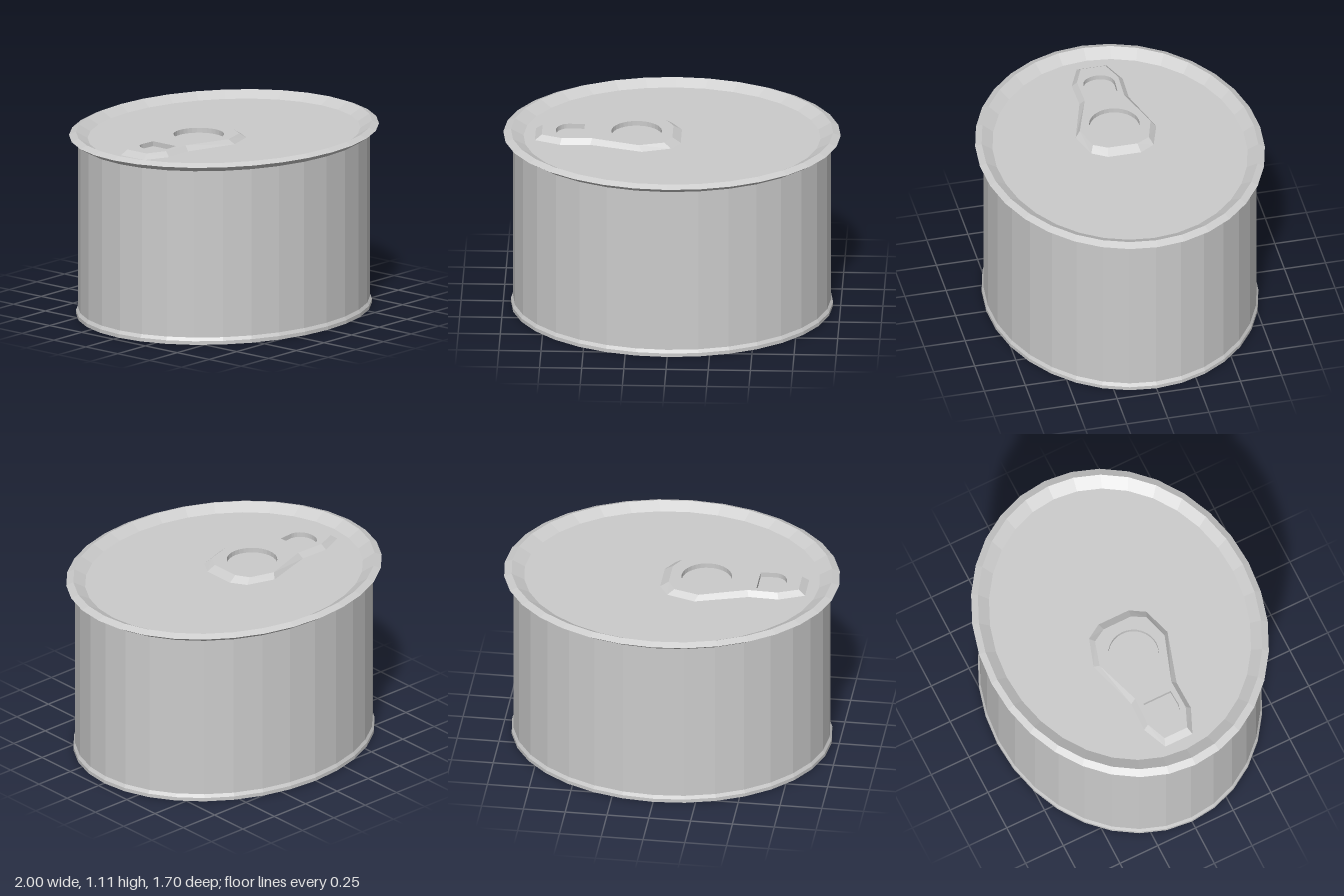
import * as THREE from 'three';

const DEPTH = 0.852;   // oval ratio z / x
const LID_Y = 1.07;
const TAB_Y = 1.1;
const TAB_Z = -0.015;

const material = new THREE.MeshStandardMaterial({ color: 0xcccccc, flatShading: true });
const tabMaterial = new THREE.MeshStandardMaterial({ color: 0xcccccc, flatShading: true, side: THREE.DoubleSide });

// 32-sided oval ring from a [radius, height] profile
function ovalPart(name, profile) {
  const geometry = new THREE.LatheGeometry(profile.map(([r, y]) => new THREE.Vector2(r, y)), 32);
  geometry.scale(1, 1, DEPTH);
  const mesh = new THREE.Mesh(geometry, material);
  mesh.name = name;
  return mesh;
}

// Closed outline from one half, mirrored across the tab's centre line
function outline(half) {
  const mirrored = half.map(([x, z]) => [x, -z]).reverse();
  return [...half, ...mirrored].map(([x, z]) => new THREE.Vector2(x, z));
}

function createPullTab() {
  const tab = new THREE.Group();
  tab.name = 'pullTab';
  const lower = outline([[-0.81, 0.09], [-0.66, 0.155], [-0.48, 0.15], [-0.17, 0.245], [0, 0.19], [0.055, 0.1]]);
  const upper = outline([[-0.77, 0.075], [-0.65, 0.125], [-0.47, 0.12], [-0.19, 0.215], [-0.04, 0.17], [0.005, 0.09]]);

  // Top plate with finger hole and D-shaped slot
  const shape = new THREE.Shape(upper);
  const fingerHole = new THREE.Path().absarc(-0.21, 0, 0.15, 0, Math.PI * 2, true);
  const slot = new THREE.Path();
  slot.moveTo(-0.52, -0.09);
  slot.lineTo(-0.61, -0.095);
  slot.bezierCurveTo(-0.715, -0.09, -0.715, 0.09, -0.61, 0.095);
  slot.lineTo(-0.52, 0.09);
  slot.closePath();
  shape.holes.push(fingerHole, slot);
  const height = TAB_Y - LID_Y;
  const plateGeometry = new THREE.ExtrudeGeometry(shape, { depth: height, bevelEnabled: false, curveSegments: 16 });
  plateGeometry.rotateX(-Math.PI / 2);
  const plate = new THREE.Mesh(plateGeometry, tabMaterial);
  plate.name = 'tabPlate';

  // Sloping border between the lower and upper outlines
  const positions = [];
  const indices = [];
  const count = lower.length;
  for (let i = 0; i < count; i++) {
    positions.push(lower[i].x, 0, lower[i].y, upper[i].x, height, upper[i].y);
    const a = 2 * i;
    const b = 2 * ((i + 1) % count);
    indices.push(a, b, a + 1, b, b + 1, a + 1);
  }
  const borderGeometry = new THREE.BufferGeometry();
  borderGeometry.setAttribute('position', new THREE.Float32BufferAttribute(positions, 3));
  borderGeometry.setIndex(indices);
  borderGeometry.computeVertexNormals();
  const border = new THREE.Mesh(borderGeometry, tabMaterial);
  border.name = 'tabBorder';

  tab.add(plate, border);
  tab.position.set(0, LID_Y, TAB_Z);
  return tab;
}

export function createModel() {
  const can = new THREE.Group();
  can.name = 'can';
  can.add(
    // Flat bottom with a slightly flared foot
    ovalPart('base', [[0, 0], [0.955, 0], [0.955, 0.022], [0.943, 0.042]]),
    ovalPart('body', [[0.943, 0.042], [0.943, 1.058]]),
    // Pointed seam around the top
    ovalPart('rim', [[0.943, 1.058], [1, 1.092], [0.955, 1.11]]),
    // Recessed lid
    ovalPart('lid', [[0.955, 1.11], [0.88, LID_Y], [0, LID_Y]]),
    createPullTab()
  );
  return can;
}
